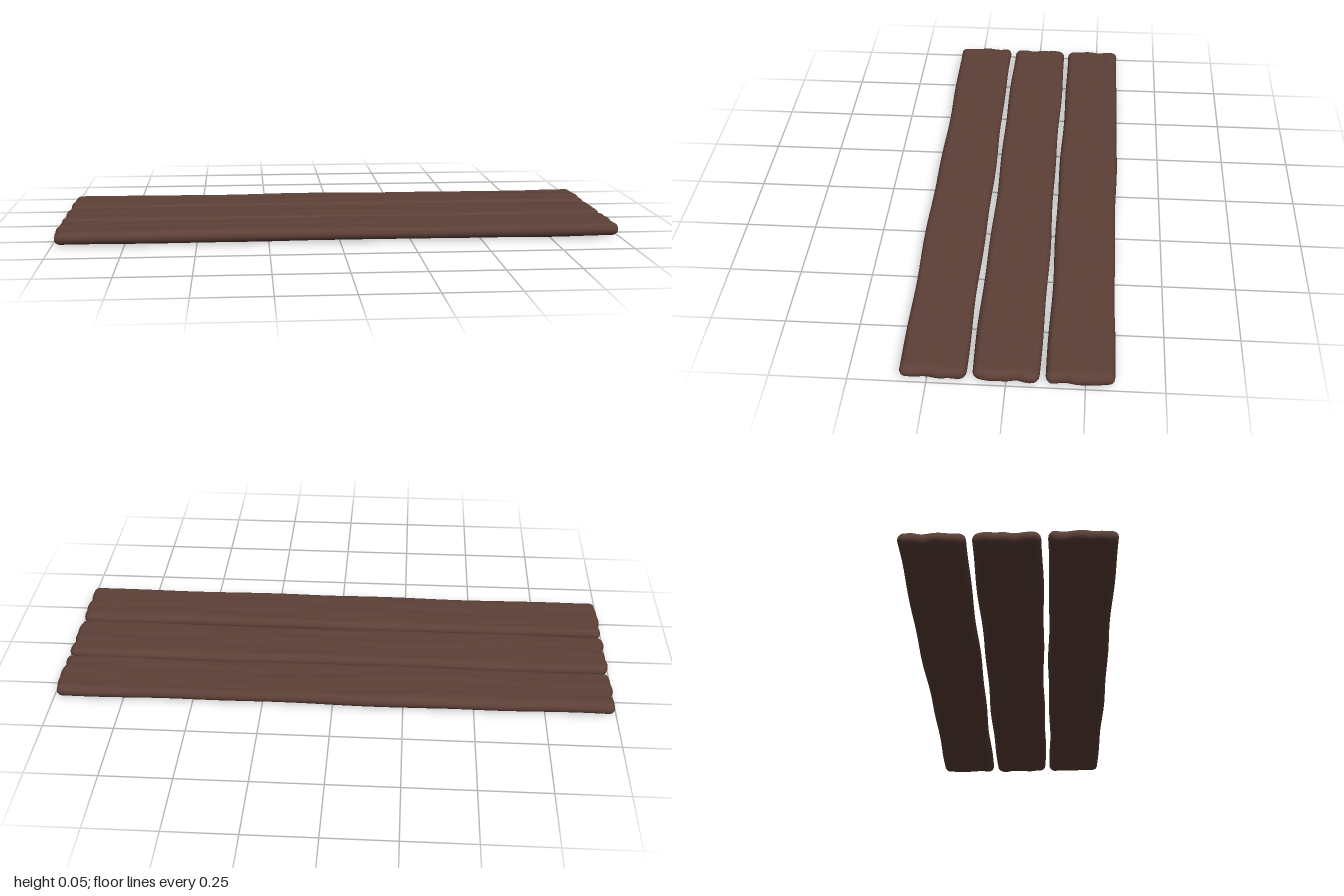
import * as THREE from 'three';
import { mergeVertices } from 'three/addons/utils/BufferGeometryUtils.js';

const HALF_LENGTH = 0.994, HALF_WIDTH = 0.107, RADIUS = 0.022, MID_Y = 0.03;
const ACROSS = 18, ARC = 8, ALONG = 110, END = 6;

// Cross-section loop: a flat core line, plus the outward direction at each point
function sectionLoop() {
  const core = HALF_WIDTH - RADIUS, loop = [];
  for (const side of [1, -1]) {
    for (let i = 0; i < ACROSS; i++) {
      loop.push({ z: side * core * (1 - 2 * i / ACROSS), dz: 0, dy: side });
    }
    for (let i = 0; i < ARC; i++) {
      const a = Math.PI * i / ARC;
      loop.push({ z: -side * core, dz: -side * Math.sin(a), dy: side * Math.cos(a) });
    }
  }
  return loop;
}

// Stations along the length; the radius shrinks to nothing at both rounded ends
function stations() {
  const list = [], inner = HALF_LENGTH - RADIUS;
  for (let i = 0; i < END; i++) {
    const a = Math.PI / 2 * (1 - i / END);
    list.push({ x: -inner - RADIUS * Math.sin(a), r: Math.cos(a) });
  }
  for (let i = 0; i <= ALONG; i++) list.push({ x: inner * (2 * i / ALONG - 1), r: 1 });
  for (let i = 1; i <= END; i++) {
    const a = Math.PI / 2 * i / END;
    list.push({ x: inner + RADIUS * Math.sin(a), r: Math.cos(a) });
  }
  return list;
}

// One worn plank: wavy edges, uneven ends and long grain ripples
function plankGeometry(seed) {
  const loop = sectionLoop(), rows = stations(), n = loop.length;
  const positions = [], index = [];
  for (const { x, r } of rows) {
    for (const p of loop) {
      const z = p.z + p.dz * RADIUS * r;
      const s = seed + (p.dy > 0 ? 0 : 4.1);
      const grain = 0.0011 * Math.sin(62 * z + 2.2 * Math.sin(3.1 * x + s) + s * 3)
        + 0.0007 * Math.sin(118 * z + 1.9 * Math.sin(7 * x + s * 2) + 4 * x)
        + 0.0012 * Math.sin(5.3 * x + 14 * z + s * 5);
      const side = Math.sign(z);
      const edge = 0.0022 * Math.sin(5.2 * x + seed * 2 + side)
        + 0.0016 * Math.sin(12.7 * x + seed * 5 + side * 2);
      const end = Math.pow(Math.abs(x) / HALF_LENGTH, 20) * Math.sign(x)
        * (0.003 * Math.sin(48 * z + seed * 3 + x) + 0.002 * Math.sin(95 * z + seed));
      positions.push(
        x + end,
        MID_Y + p.dy * r * (RADIUS + grain),
        z + edge * Math.abs(z) / HALF_WIDTH
      );
    }
  }
  for (let i = 0; i < rows.length - 1; i++) {
    for (let j = 0; j < n; j++) {
      const a = i * n + j, b = i * n + (j + 1) % n;
      index.push(a, a + n, b, b, a + n, b + n);
    }
  }
  const geometry = new THREE.BufferGeometry();
  geometry.setAttribute('position', new THREE.Float32BufferAttribute(positions, 3));
  geometry.setIndex(index);
  const welded = mergeVertices(geometry, 1e-6);
  welded.computeVertexNormals();
  return welded;
}

export function createModel() {
  const group = new THREE.Group();
  group.name = 'plankPanel';
  const wood = new THREE.MeshStandardMaterial({ color: 0x5d4037 });
  wood.name = 'dark brown wood';

  // Three parallel planks with narrow gaps
  [['backPlank', -0.232, 0.4], ['middlePlank', -0.001, 1.7], ['frontPlank', 0.231, 2.9]]
    .forEach(([name, z, seed]) => {
      const plank = new THREE.Mesh(plankGeometry(seed), wood);
      plank.name = name;
      plank.position.set(0, name === 'frontPlank' ? 0.001 : -0.001, z);
      group.add(plank);
    });
  return group;
}
